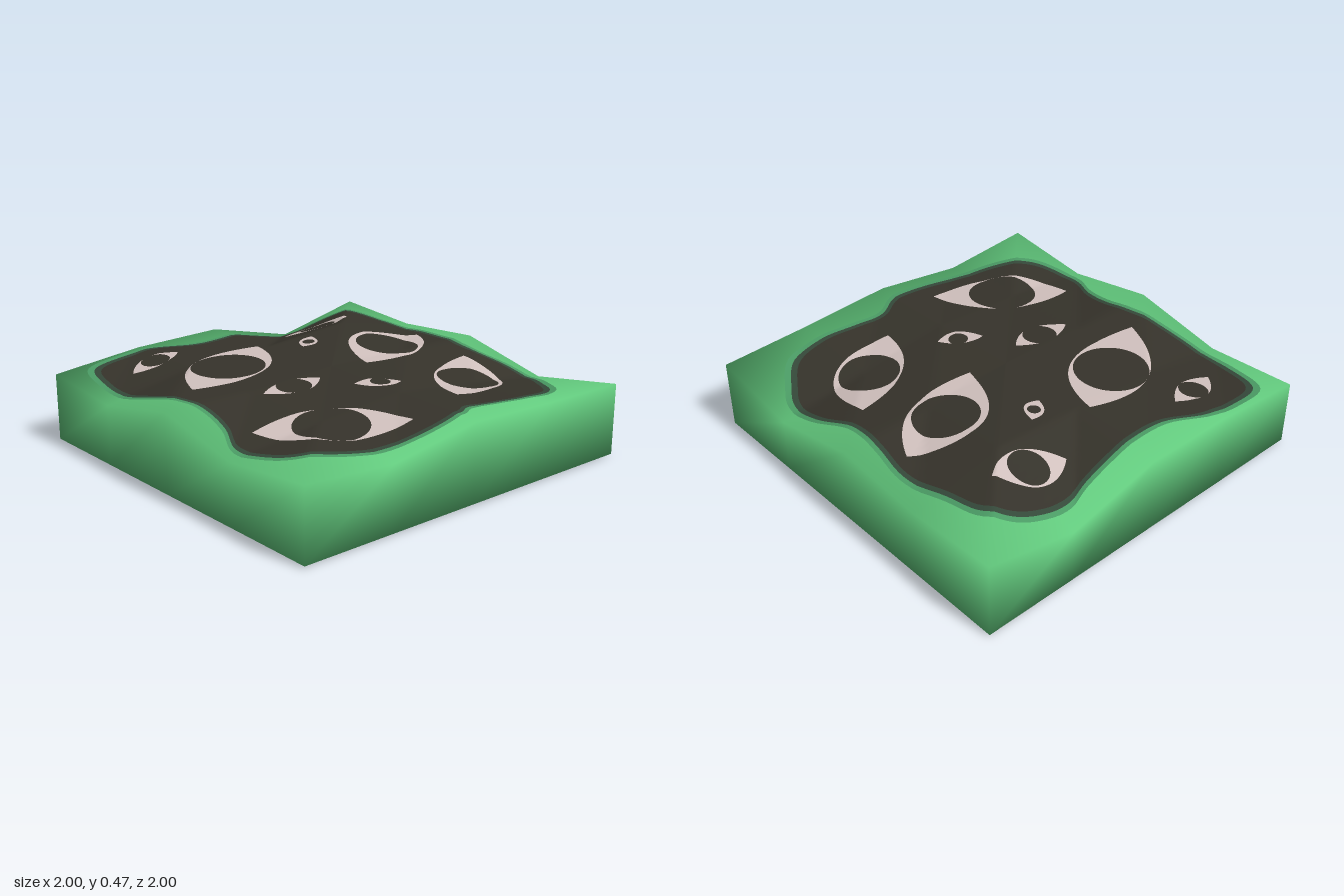
import * as THREE from 'three';
import { mergeVertices } from 'three/addons/utils/BufferGeometryUtils.js';

const mat = (name, color) => new THREE.MeshStandardMaterial({ name, color });
const BASE = 0.01; // height of the underside

// Heights of the top on a 5 x 5 grid: rows run z = -1..1, columns x = -1..1
const HEIGHTS = [
  [0.36, 0.41, 0.42, 0.30, 0.415],
  [0.32, 0.41, 0.43, 0.47, 0.38],
  [0.415, 0.41, 0.435, 0.42, 0.415],
  [0.32, 0.38, 0.42, 0.36, 0.30],
  [0.37, 0.335, 0.41, 0.39, 0.38],
];

// Height of the faceted top at any point
function topHeight(x, z) {
  const gx = (x + 1) * 2, gz = (z + 1) * 2;
  const i = Math.min(3, Math.max(0, Math.floor(gx)));
  const j = Math.min(3, Math.max(0, Math.floor(gz)));
  const u = gx - i, v = gz - j;
  const a = HEIGHTS[j][i], b = HEIGHTS[j + 1][i], c = HEIGHTS[j + 1][i + 1], d = HEIGHTS[j][i + 1];
  return u + v <= 1 ? a + u * (d - a) + v * (b - a) : c + (1 - u) * (b - c) + (1 - v) * (d - c);
}

// Outline of the dark patch, as x, z pairs
const PATCH = [
  -0.80, -0.88, -0.61, -0.915, -0.45, -0.90, -0.235, -0.80, 0.03, -0.80, 0.27, -0.82, 0.43, -0.855, 0.67, -0.82,
  0.78, -0.72, 0.82, -0.53, 0.865, -0.29, 0.835, -0.075, 0.82, 0.14, 0.875, 0.35, 0.87, 0.54, 0.81, 0.65,
  0.685, 0.80, 0.485, 0.835, 0.30, 0.81, 0.14, 0.79, 0.03, 0.845, -0.18, 0.87, -0.45, 0.85, -0.66, 0.79,
  -0.82, 0.685, -0.88, 0.54, -0.89, 0.41, -0.82, 0.245, -0.795, 0.06, -0.835, -0.18, -0.87, -0.45, -0.86, -0.69,
];

// Eyes: corner, upper control, other corner, lower control, pupil centre, pupil radius
const EYES = [
  [[-0.72, -0.18], [-0.54, -0.715], [-0.06, -0.53], [-0.13, -0.045], [-0.37, -0.37], 0.19],
  [[0.18, 0.065], [0.32, -0.52], [0.80, -0.21], [0.64, 0.16], [0.49, -0.12], 0.165],
  [[0.245, 0.64], [0.27, 0.27], [0.73, 0.215], [0.78, 0.73], [0.505, 0.46], 0.155],
  [[-0.775, 0.36], [-0.27, 0.26], [-0.165, 0.765], [-0.71, 0.83], [-0.475, 0.555], 0.18],
  [[-0.725, -0.70], [-0.59, -0.90], [-0.41, -0.76], [-0.54, -0.61], [-0.56, -0.745], 0.075],
  [[0.255, -0.695], [0.47, -0.865], [0.64, -0.615], [0.42, -0.445], [0.45, -0.65], 0.098],
  [[-0.49, 0.075], [-0.31, -0.05], [-0.15, 0.09], [-0.31, 0.26], [-0.315, 0.09], 0.088],
  [[0.095, -0.34], [0.12, -0.46], [0.23, -0.435], [0.21, -0.28], [0.165, -0.38], 0.033],
  [[-0.085, 0.27], [0.05, 0.235], [0.12, 0.385], [-0.03, 0.45], [0.03, 0.33], 0.05],
];

// Band between two matching outlines, laid over the top or, with x and z swapped, under the base
function drapedBand(inner, outer, rings, layer, below) {
  const n = inner.length, pos = [], index = [];
  for (let r = 0; r <= rings; r++) {
    for (let i = 0; i < n; i++) {
      const p = inner[i].clone().lerp(outer[i], r / rings);
      if (below) pos.push(p.y, BASE - layer, p.x);
      else pos.push(p.x, topHeight(p.x, p.y) + layer, p.y);
    }
  }
  for (let r = 0; r < rings; r++) {
    for (let i = 0; i < n; i++) {
      const k = (i + 1) % n;
      const a = r * n + i, b = (r + 1) * n + i, c = (r + 1) * n + k, d = r * n + k;
      index.push(a, c, b, a, d, c);
    }
  }
  const g = new THREE.BufferGeometry();
  g.setAttribute('position', new THREE.Float32BufferAttribute(pos, 3));
  g.setIndex(index);
  g.computeVertexNormals();
  return g;
}

export function createModel() {
  const green = mat('leaf green', 0x62c97d);
  const edgeGreen = mat('edge green', 0x4b9c65);
  const deepGreen = mat('deep green', 0x35493a);
  const dark = mat('charcoal', 0x36332b);
  const pale = mat('pale pink', 0xd2c2bf);

  const model = new THREE.Group();
  const add = (parent, name, geometry, material) => {
    const mesh = new THREE.Mesh(geometry, material);
    mesh.name = name;
    parent.add(mesh);
  };

  // Slab with an uneven top, shaded smoothly round its edges
  let slab = new THREE.BoxGeometry(2, 1, 2, 4, 1, 4);
  slab.deleteAttribute('uv');
  slab.deleteAttribute('normal');
  slab = mergeVertices(slab);
  const p = slab.attributes.position;
  for (let i = 0; i < p.count; i++) {
    p.setY(i, p.getY(i) > 0 ? topHeight(p.getX(i), p.getZ(i)) : BASE);
  }
  slab.computeVertexNormals();
  add(model, 'slab', slab, green);

  // Patch outline and its scaled copies
  const knots = [];
  for (let i = 0; i < PATCH.length; i += 2) knots.push(new THREE.Vector3(PATCH[i], PATCH[i + 1], 0));
  const outline = new THREE.CatmullRomCurve3(knots, true).getPoints(192).slice(0, -1);
  const scaled = (s) => outline.map((q) => new THREE.Vector2(q.x * s, q.y * s));

  for (const below of [false, true]) {
    const side = new THREE.Group();
    side.name = below ? 'undersidePattern' : 'topPattern';
    model.add(side);

    add(side, 'patch', drapedBand(scaled(0), scaled(1), below ? 2 : 48, 0.005, below), dark);
    add(side, 'patchInnerBorder', drapedBand(scaled(1), scaled(1.03), 2, 0.005, below), deepGreen);
    add(side, 'patchOuterBorder', drapedBand(scaled(1.03), scaled(1.06), 2, 0.005, below), edgeGreen);

    // Eye whites, open at the pupil so the patch shows through
    for (const [a, up, b, low, centre, radius] of EYES) {
      const [A, U, B, L, C] = [a, up, b, low, centre].map((q) => new THREE.Vector2(...q));
      const rim = [
        ...new THREE.QuadraticBezierCurve(A, U, B).getPoints(36).slice(0, -1),
        ...new THREE.QuadraticBezierCurve(B, L, A).getPoints(36).slice(0, -1),
      ];
      const hole = rim.map((q) => q.clone().sub(C).clampLength(0, radius).add(C));
      add(side, 'eyeWhite', drapedBand(hole, rim, 8, 0.009, below), pale);
    }
  }
  return model;
}
